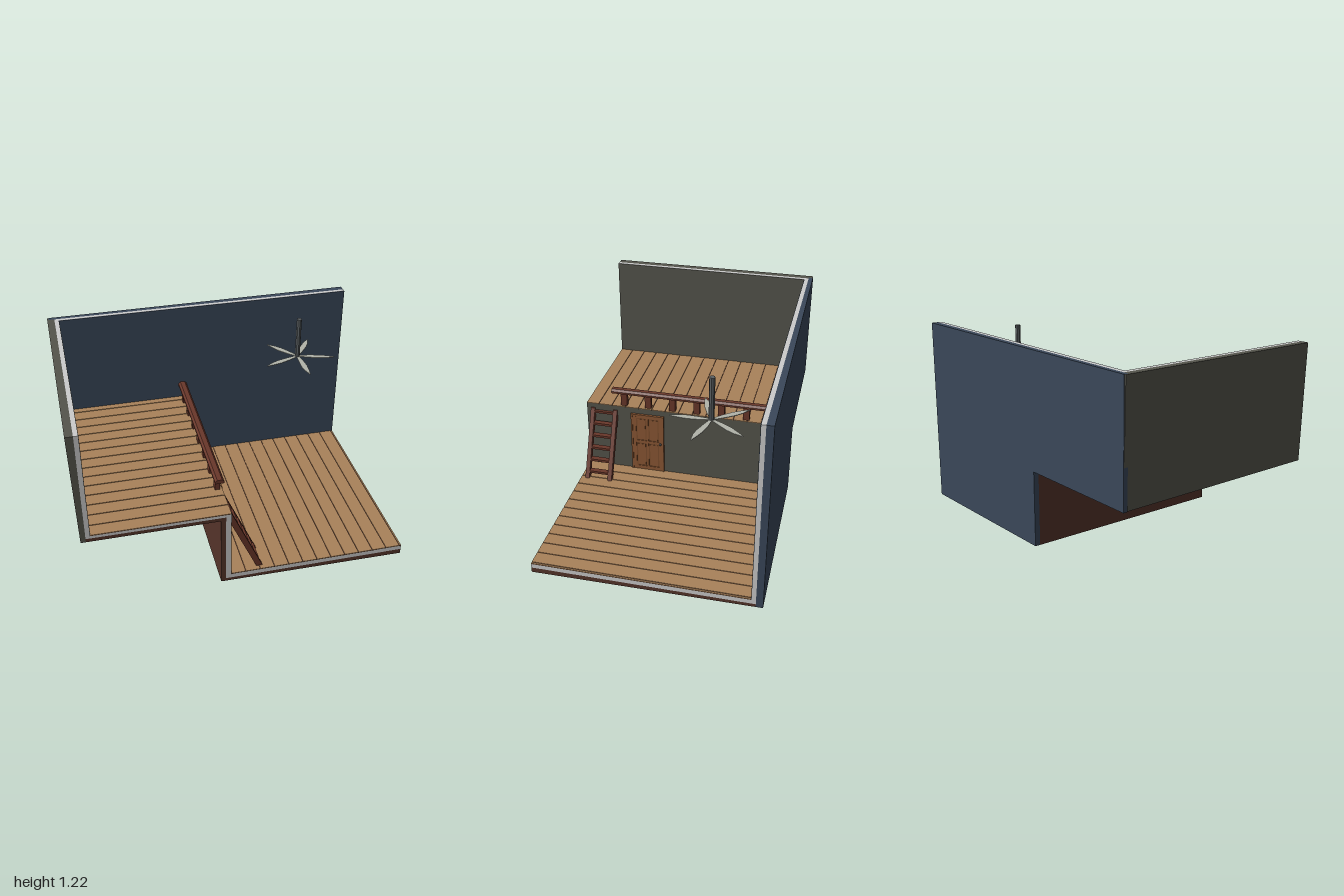
import * as THREE from 'three';

const paint = (color) => new THREE.MeshStandardMaterial({ color, flatShading: true, side: THREE.DoubleSide });
const MAT = {
  grey: paint(0xcccccc), blue: paint(0x3a485a), olive: paint(0x55554c), under: paint(0x55342a),
  gap: paint(0x4a3024), plank: paint(0xa9825a), wood: paint(0x69372a), door: paint(0x8c5834),
  panel: paint(0x7d4e2e), metal: paint(0x5a5f62), blade: paint(0xb2b4aa),
};

// Box given by its limits on each axis
function box(name, mat, x0, x1, y0, y1, z0, z1) {
  const m = new THREE.Mesh(new THREE.BoxGeometry(x1 - x0, y1 - y0, z1 - z0), mat);
  m.position.set((x0 + x1) / 2, (y0 + y1) / 2, (z0 + z1) / 2);
  m.name = name;
  return m;
}

// Outline in x and y, extruded from z0 to z1
function prism(name, mat, pts, z0, z1) {
  const shape = new THREE.Shape(pts.map(([x, y]) => new THREE.Vector2(x, y)));
  const g = new THREE.ExtrudeGeometry(shape, { depth: z1 - z0, bevelEnabled: false });
  g.translate(0, 0, z0);
  const m = new THREE.Mesh(g, mat);
  m.name = name;
  return m;
}

// Moves each vertex of a mesh by a rule
function warp(mesh, rule) {
  const p = mesh.geometry.attributes.position, v = new THREE.Vector3();
  for (let i = 0; i < p.count; i++) {
    rule(v.fromBufferAttribute(p, i));
    p.setXYZ(i, v.x, v.y, v.z);
  }
  mesh.geometry.computeVertexNormals();
  return mesh;
}

const TOP = 1.22, FRONT = 0.69, BACK = -0.63, STEP = -0.11;

// The outside skin is slightly out of square
function skew(v) {
  if (v.y < 0.01) v.y += 0.013 * (1 - v.x) / 1.17 + 0.013 * (FRONT - v.z) / 1.38;
  if (v.z < -0.68) v.z = -0.685 - 0.0075 * (v.x + 1);
}

function buildShell() {
  const g = new THREE.Group();
  g.name = 'shell';
  // Outer skin
  g.add(warp(prism('floorUnderside', MAT.under, [[-0.955, 0.495], [-0.173, 0.495], [-0.173, 0], [1, 0],
    [1, 0.033], [-0.143, 0.033], [-0.143, 0.518], [-0.955, 0.518]], -0.658, FRONT), skew));
  g.add(warp(prism('backWallOutside', MAT.blue, [[-0.99, 0.495], [-0.173, 0.495], [-0.173, 0], [1, 0],
    [1, TOP], [-0.99, TOP]], -0.69, -0.658), skew));
  g.add(warp(prism('leftWallOutside', MAT.olive, [[-0.985, 0.495], [-0.955, 0.495], [-0.955, TOP],
    [-1, TOP]], -0.682, FRONT), () => {}));
  // Grey core
  g.add(prism('floorCore', MAT.grey, [[-0.955, 0.518], [-0.143, 0.518], [-0.143, 0.033], [1, 0.033],
    [1, 0.06], [STEP - 0.003, 0.06], [STEP - 0.003, 0.535], [-0.955, 0.535]], -0.658, FRONT));
  g.add(prism('backWallCore', MAT.grey, [[-0.955, 0.535], [STEP - 0.003, 0.535], [STEP - 0.003, 0.06],
    [1, 0.06], [1, TOP], [-0.955, TOP]], -0.658, BACK - 0.003));
  g.add(box('leftWallCore', MAT.grey, -0.955, -0.93, 0.535, TOP, BACK - 0.003, FRONT));
  // Painted inner faces
  g.add(prism('backWallPaint', MAT.blue, [[-0.93, 0.535], [STEP, 0.535], [STEP, 0.06],
    [1, 0.06], [1, TOP], [-0.93, TOP]], BACK - 0.003, BACK));
  g.add(box('leftWallPaint', MAT.olive, -0.93, -0.927, 0.535, TOP, BACK, FRONT));
  g.add(box('stepWallPaint', MAT.olive, STEP - 0.003, STEP, 0.06, 0.537, BACK, FRONT));
  return g;
}

function buildFloors() {
  const g = new THREE.Group();
  g.name = 'floorBoards';
  const s = 0.0915, gap = 0.003;
  g.add(box('upperGaps', MAT.gap, -0.927, STEP, 0.535, 0.537, BACK, FRONT));
  g.add(box('lowerGaps', MAT.gap, STEP, 1, 0.06, 0.062, BACK, FRONT));
  // Upper boards run across, lower boards run front to back
  for (let z = -0.676; z < FRONT; z += s)
    g.add(box('upperBoard', MAT.plank, -0.927, STEP, 0.537, 0.541,
      Math.max(BACK, z + gap), Math.min(FRONT, z + s - gap)));
  for (let x = STEP; x < 0.99; x += s)
    g.add(box('lowerBoard', MAT.plank, x + gap, Math.min(1, x + s - gap), 0.062, 0.066, BACK, FRONT));
  return g;
}

function buildRailing() {
  const g = new THREE.Group();
  g.name = 'railing';
  g.add(prism('handrail', MAT.wood, [[-0.168, 0.632], [-0.112, 0.632], [-0.112, 0.645], [-0.125, 0.658],
    [-0.155, 0.658], [-0.168, 0.645]], BACK, 0.515));
  for (let i = 0; i < 7; i++) {
    const z = 0.433 - i * 0.165;
    g.add(box('railPost', MAT.wood, -0.156, -0.124, 0.541, 0.632, z - 0.021, z + 0.021));
  }
  return g;
}

function buildLadder() {
  const g = new THREE.Group();
  g.name = 'ladder';
  const side = [[-0.109, 0.44], [0.056, 0.066], [0.095, 0.066], [-0.1, 0.508], [-0.109, 0.508]];
  for (const z of [0.49, 0.646]) g.add(prism('ladderSide', MAT.wood, side, z - 0.014, z + 0.014));
  for (let i = 0; i < 6; i++) {
    const y = 0.107 + i * 0.0755, x = -0.118 + (0.505 - y) * 0.443;
    g.add(box('rung', MAT.wood, Math.max(x - 0.018, STEP), x + 0.018, y - 0.008, y + 0.008, 0.504, 0.632));
  }
  return g;
}

function buildDoor() {
  const g = new THREE.Group();
  g.name = 'door';
  const z0 = 0.156, z1 = 0.381, y0 = 0.066, y1 = 0.5, f = 0.011;
  g.add(box('doorLeaf', MAT.panel, STEP, -0.103, y0, y1, z0, z1));
  // Frame
  g.add(box('frameTop', MAT.door, STEP, -0.094, y1 - f, y1, z0, z1));
  for (const z of [z0, z1 - f]) g.add(box('frameSide', MAT.door, STEP, -0.094, y0, y1 - f, z, z + f));
  // Stiles and cross rails around four sunken panels
  for (const [a, b] of [[0.167, 0.19], [0.262, 0.275], [0.347, 0.37]])
    g.add(box('stile', MAT.door, STEP, -0.099, y0, y1 - f, a, b));
  for (const [a, b] of [[y0, 0.093], [0.278, 0.298], [0.472, y1 - f]])
    g.add(box('crossRail', MAT.door, STEP, -0.0992, a, b, 0.167, 0.37));
  for (const [a, b] of [[0.093, 0.278], [0.298, 0.472]])
    for (const [c, d] of [[0.19, 0.262], [0.275, 0.347]])
      g.add(box('panel', MAT.door, STEP, -0.101, a + 0.009, b - 0.009, c + 0.009, d - 0.009));
  const knob = new THREE.Mesh(new THREE.SphereGeometry(0.008, 10, 8), MAT.metal);
  knob.name = 'doorKnob';
  knob.position.set(-0.094, 0.285, 0.179);
  g.add(knob);
  return g;
}

function buildFan() {
  const g = new THREE.Group();
  g.name = 'ceilingFan';
  g.position.set(0.575, 0.95, -0.3);
  const rod = new THREE.Mesh(new THREE.CylinderGeometry(0.017, 0.017, 0.274, 8), MAT.metal);
  rod.name = 'fanRod';
  rod.position.y = 0.133;
  g.add(rod);
  // Leaf-shaped blades, narrow at the hub and pointed at the tip
  const shape = new THREE.Shape([[0.01, -0.008], [0.07, -0.015], [0.14, -0.021], [0.19, -0.017], [0.243, -0.002],
    [0.243, 0.002], [0.19, 0.012], [0.14, 0.018], [0.07, 0.016], [0.01, 0.008]].map((p) => new THREE.Vector2(...p)));
  const geo = new THREE.ExtrudeGeometry(shape, { depth: 0.004, bevelEnabled: false });
  geo.rotateX(-Math.PI / 2);
  geo.translate(0, -0.002, 0);
  for (let i = 0; i < 5; i++) {
    const blade = new THREE.Mesh(geo, MAT.blade);
    blade.name = 'fanBlade';
    blade.rotation.y = -Math.PI / 2 + 0.04 + i * Math.PI * 2 / 5;
    g.add(blade);
  }
  return g;
}

export function createModel() {
  const model = new THREE.Group();
  model.name = 'splitLevelRoom';
  model.add(buildShell(), buildFloors(), buildRailing(), buildLadder(), buildDoor(), buildFan());
  return model;
}
